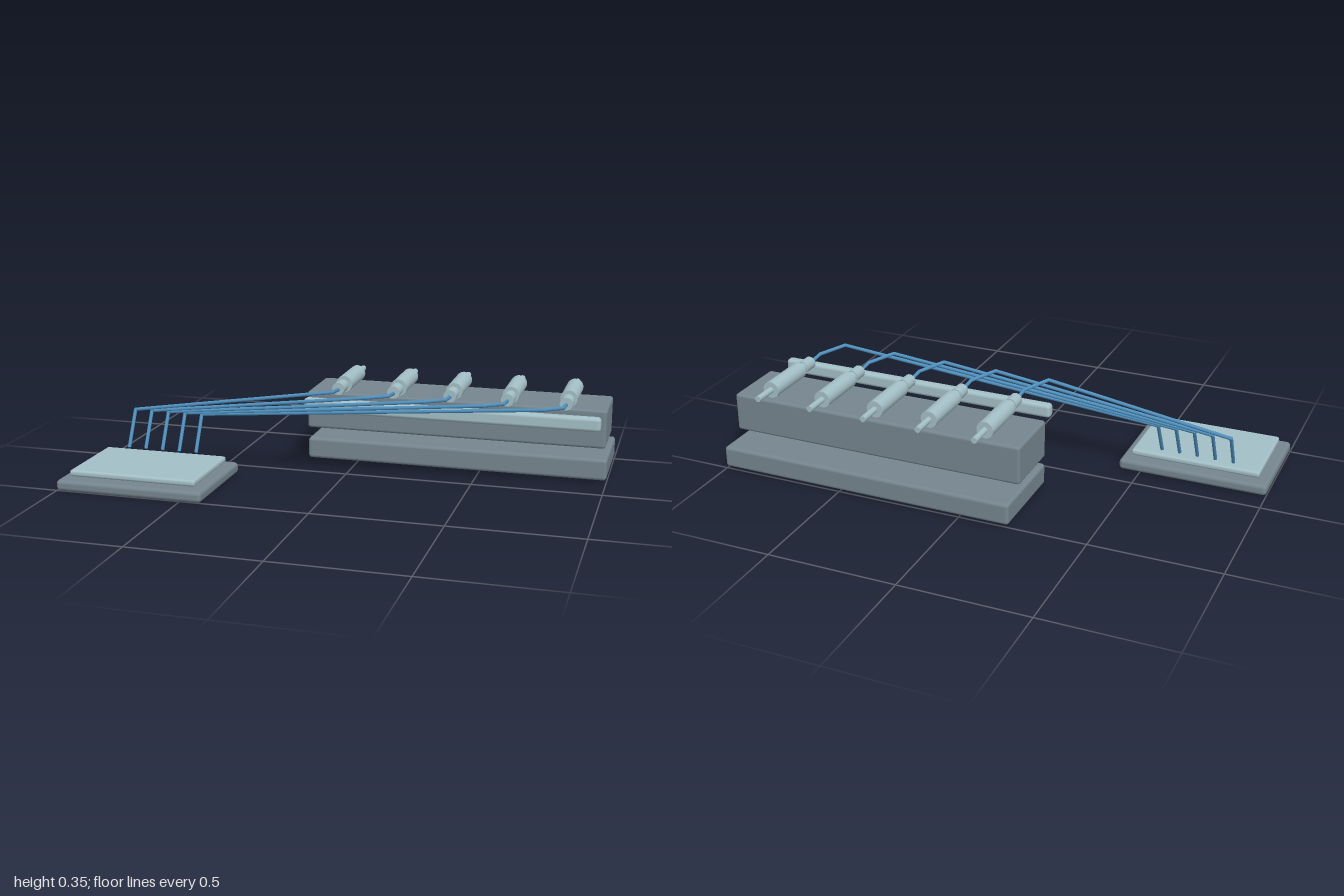
import * as THREE from 'three';
import { RoundedBoxGeometry } from 'three/addons/geometries/RoundedBoxGeometry.js';

const mat = (name, color) => {
  const m = new THREE.MeshStandardMaterial({ color });
  m.name = name;
  return m;
};

export function createModel() {
  const housing = mat('slate housing', 0x75858f);
  const pale = mat('pale blue grey', 0xa3bfc6);
  const blue = mat('tubing blue', 0x4f90be);
  const teal = mat('display teal', 0x3f9da5);

  const model = new THREE.Group();
  model.name = 'syringePumpRig';

  const add = (parent, name, geometry, material) => {
    const mesh = new THREE.Mesh(geometry, material);
    mesh.name = name;
    parent.add(mesh);
    return mesh;
  };

  // Rounded box given by its limits on each axis
  const slab = (name, [x0, x1], [y0, y1], [z0, z1], radius, material) => {
    const g = new RoundedBoxGeometry(x1 - x0, y1 - y0, z1 - z0, 3, radius);
    add(model, name, g, material).position.set((x0 + x1) / 2, (y0 + y1) / 2, (z0 + z1) / 2);
  };

  // Cylinder lying along z
  const barrel = (parent, name, radius, z0, z1, material) => {
    const g = new THREE.CylinderGeometry(radius, radius, z1 - z0, 24).rotateX(Math.PI / 2);
    add(parent, name, g, material).position.z = (z0 + z1) / 2;
  };

  // Straight tube pieces with round joints
  const tube = (name, points, radius) => {
    const group = new THREE.Group();
    group.name = name;
    const up = new THREE.Vector3(0, 1, 0);
    points.forEach((p, i) => {
      if (i > 0 && i < points.length - 1) {
        add(group, 'tubeJoint', new THREE.SphereGeometry(radius, 12, 8), blue).position.copy(p);
      }
      if (i === 0) return;
      const d = p.clone().sub(points[i - 1]);
      const g = new THREE.CylinderGeometry(radius, radius, d.length(), 12);
      const piece = add(group, 'tubeSection', g, blue);
      piece.position.copy(p).add(points[i - 1]).multiplyScalar(0.5);
      piece.quaternion.setFromUnitVectors(up, d.normalize());
    });
    model.add(group);
  };

  // Pump bank and support rail
  slab('pumpBase', [-0.2, 1.0], [0.01, 0.095], [-0.508, -0.145], 0.013, housing);
  slab('pumpHousing', [-0.207, 0.99], [0.133, 0.285], [-0.418, -0.163], 0.011, housing);
  slab('tubeRail', [-0.18, 0.98], [0.236, 0.291], [-0.057, -0.017], 0.014, pale);

  // Chip tray and plate
  slab('tray', [-1.0, -0.415], [0, 0.043], [0.09, 0.508], 0.015, housing);
  slab('chipPlate', [-0.96, -0.452], [0.05, 0.075], [0.13, 0.47], 0.01, pale);

  for (let i = 0; i < 5; i++) {
    const x = -0.06 + i * 0.225;
    const outlet = -0.855 + i * 0.071;

    // Syringe with plunger, nut and collar
    const syringe = new THREE.Group();
    syringe.name = 'syringe';
    syringe.position.set(x, 0.318, 0);
    barrel(syringe, 'syringeBarrel', 0.033, -0.393, -0.187, pale);
    barrel(syringe, 'plunger', 0.012, -0.486, -0.393, pale);
    barrel(syringe, 'nozzleNut', 0.025, -0.16, -0.1, pale);
    barrel(syringe, 'nozzleCollar', 0.021, -0.176, -0.16, pale);
    model.add(syringe);

    // Small display on the housing front
    add(model, 'display', new THREE.BoxGeometry(0.088, 0.045, 0.008), teal)
      .position.set(x, 0.224, -0.16);

    // Feed line from nozzle to chip
    tube('feedTube', [
      new THREE.Vector3(x, 0.314, -0.105),
      new THREE.Vector3(x, 0.323, -0.02),
      new THREE.Vector3(x - 0.062, 0.335, 0.078),
      new THREE.Vector3(outlet, 0.223, 0.078),
      new THREE.Vector3(outlet + 0.003, 0.087, 0.158),
    ], 0.007);
  }
  return model;
}
